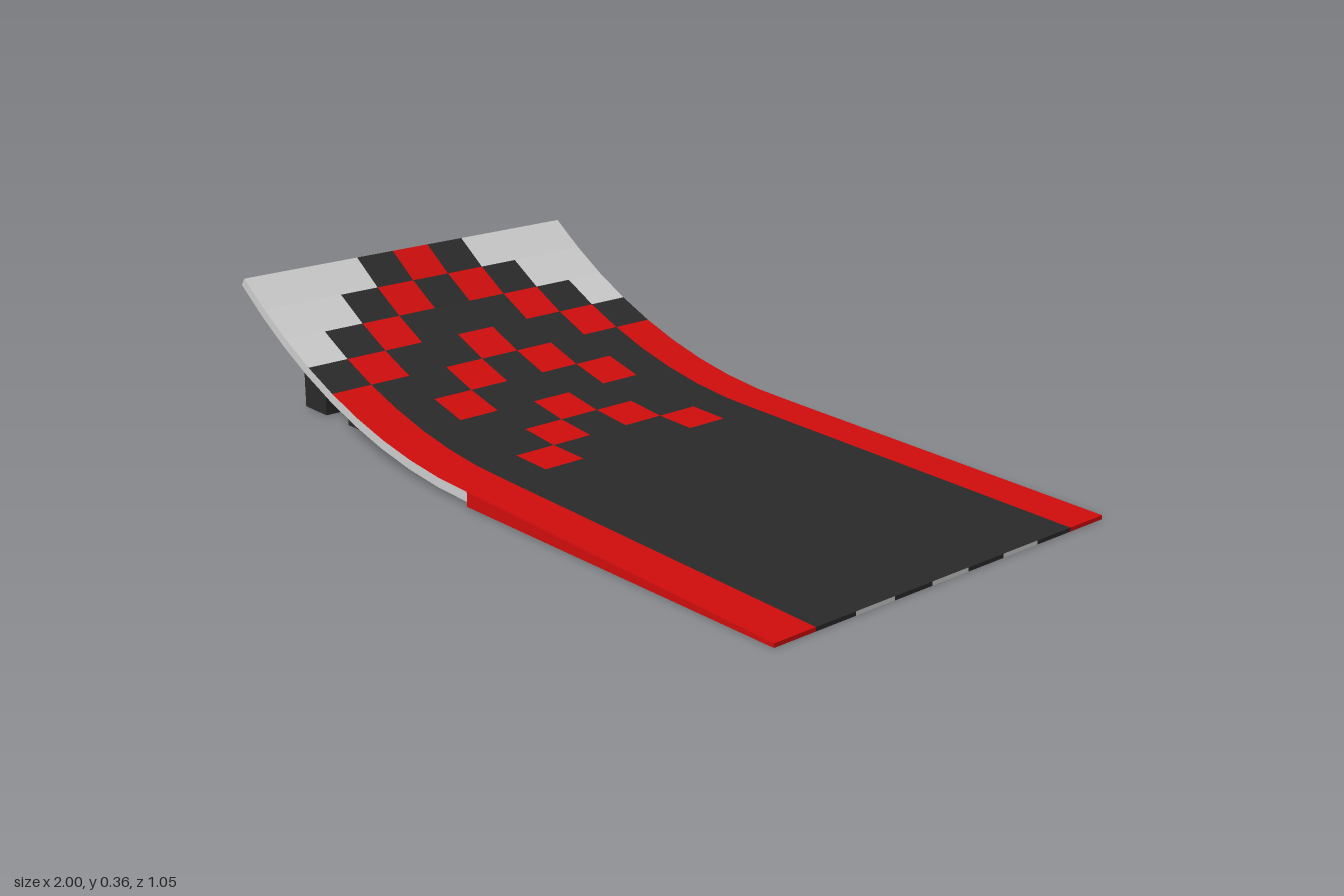
import * as THREE from 'three';

const GREY = 0xcccccc, RED = 0xd00d0d, DARK = 0x2a2a2a;
const CELLS = 9, ROWS = 9, ROW_W = 1.05 / ROWS;
const JOINT_X = -0.015, SWEEP = 0.6375;       // where ramp meets curve, arc angle
const CENTRE_Y = 1.667, R_TOP = 1.63, R_BOTTOM = 1.655;

// Point on the curved deck at a cell boundary
const arc = (k, r) => {
  const a = (k / CELLS) * SWEEP;
  return [JOINT_X - r * Math.sin(a), CENTRE_Y - r * Math.cos(a)];
};

// Collects chosen faces of six-sided blocks, sorted by colour
class Panels {
  constructor() { this.byColor = new Map(); }

  quad(color, ...corners) {
    if (!this.byColor.has(color)) this.byColor.set(color, []);
    const list = this.byColor.get(color);
    for (const i of [0, 1, 2, 0, 2, 3]) list.push(...corners[i]);
  }

  // a and b are the low-x and high-x stations {t, b}; faces maps side to colour
  block(a, b, z0, z1, faces) {
    const p = ([x, y], z) => [x, y, z];
    const sides = {
      top: [p(a.t, z0), p(a.t, z1), p(b.t, z1), p(b.t, z0)],
      bottom: [p(a.b, z0), p(b.b, z0), p(b.b, z1), p(a.b, z1)],
      front: [p(a.b, z1), p(b.b, z1), p(b.t, z1), p(a.t, z1)],
      back: [p(b.b, z0), p(a.b, z0), p(a.t, z0), p(b.t, z0)],
      right: [p(b.b, z1), p(b.b, z0), p(b.t, z0), p(b.t, z1)],
      left: [p(a.b, z0), p(a.b, z1), p(a.t, z1), p(a.t, z0)],
    };
    for (const [side, color] of Object.entries(faces)) this.quad(color, ...sides[side]);
  }

  build(name) {
    const group = new THREE.Group();
    group.name = name;
    for (const [color, points] of this.byColor) {
      const geometry = new THREE.BufferGeometry();
      geometry.setAttribute('position', new THREE.Float32BufferAttribute(points, 3));
      geometry.computeVertexNormals();
      const mesh = new THREE.Mesh(geometry, new THREE.MeshStandardMaterial({ color }));
      mesh.name = name + { [GREY]: 'Grey', [RED]: 'Red', [DARK]: 'Dark' }[color];
      group.add(mesh);
    }
    return group;
  }
}

// Chevron pattern on the curved deck; r = rows from the middle
function tileColor(r, cell) {
  if (cell > 9 - r) return GREY;
  if (r === 4) return cell < 5 ? RED : DARK;
  if (r === 3) return cell === 5 ? RED : DARK;
  return (8 - r - cell) % 3 === 0 ? RED : DARK;
}

export function createModel() {
  const model = new THREE.Group();
  model.name = 'curvedRamp';
  const curve = new Panels(), ramp = new Panels();
  const station = (k) => ({ t: arc(k, R_TOP), b: arc(k, R_BOTTOM) });

  for (let row = 0; row < ROWS; row++) {
    const r = Math.abs(row - 4);
    const z0 = (row - 4.5) * ROW_W, z1 = z0 + ROW_W;
    const stripe = r % 2 ? DARK : GREY;

    // Curved deck tiles with striped underside
    for (let c = 0; c < CELLS; c++) {
      const faces = { top: tileColor(r, c), bottom: c > 9 - r ? GREY : stripe };
      if (row === 0) faces.back = GREY;
      if (row === ROWS - 1) faces.front = GREY;
      if (c === CELLS - 1) faces.left = GREY;
      curve.block(station(c + 1), station(c), z0, z1, faces);
    }

    // Shallow entry wedge
    const faces = {
      top: r === 4 ? RED : DARK,
      bottom: stripe,
      left: stripe,
      right: r === 4 ? RED : stripe,
    };
    if (row === 0) faces.back = RED;
    if (row === ROWS - 1) faces.front = RED;
    ramp.block(
      { t: [JOINT_X, 0.037], b: [JOINT_X, 0] },
      { t: [1, 0.01], b: [1, 0] },
      z0, z1, faces);
  }
  model.add(curve.build('curvedDeck'), ramp.build('entryRamp'));

  // Four legs reaching up to the underside
  for (const side of [-1, 1]) {
    for (const k of [5, 7]) {
      const leg = new Panels();
      const foot = (n) => ({ t: arc(n, R_BOTTOM), b: [arc(n, R_BOTTOM)[0], 0] });
      const z = side * 3 * ROW_W;
      leg.block(foot(k + 1), foot(k), z - ROW_W / 2, z + ROW_W / 2,
        { bottom: DARK, front: DARK, back: DARK, left: DARK, right: DARK });
      model.add(leg.build((k === 5 ? 'short' : 'tall') + 'Leg' + (side > 0 ? 'Front' : 'Back')));
    }
  }
  return model;
}
